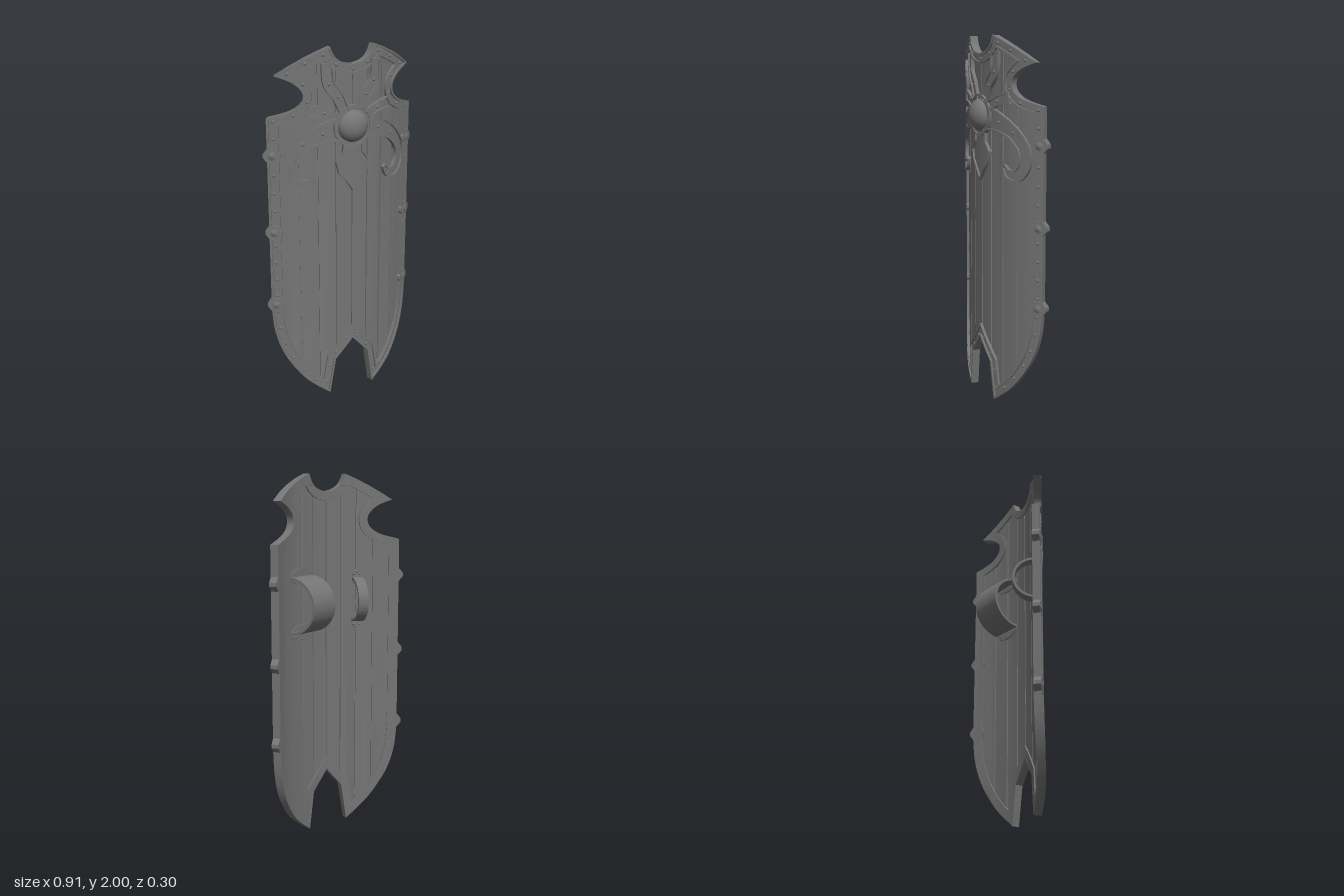
import * as THREE from 'three';
import { toCreasedNormals } from 'three/addons/utils/BufferGeometryUtils.js';

const R = 0.735, ZC = -0.638; // radius and axis of the curved front
const material = new THREE.MeshStandardMaterial({ color: 0x757575 });
const V = (x, y) => new THREE.Vector2(x, y);

// Wrap a flat geometry round the vertical axis, splitting wide triangles first
function bend(geo) {
  const p = geo.attributes.position, out = [], stack = [];
  const at = (i) => new THREE.Vector3().fromBufferAttribute(p, i);
  for (let i = 0; i < p.count; i += 3) stack.push([at(i), at(i + 1), at(i + 2)]);
  while (stack.length) {
    const [a, b, c] = stack.pop();
    const d = [Math.abs(a.x - b.x), Math.abs(b.x - c.x), Math.abs(c.x - a.x)];
    const k = d.indexOf(Math.max(...d));
    if (d[k] > 0.05) {
      const t = [a, b, c], u = t[k], v = t[(k + 1) % 3], w = t[(k + 2) % 3];
      const m = u.clone().lerp(v, 0.5);
      stack.push([u, m, w], [m, v, w]);
      continue;
    }
    for (const q of [a, b, c]) {
      const ang = Math.asin(q.x / R), r = R + q.z;
      out.push(r * Math.sin(ang), q.y, ZC + r * Math.cos(ang));
    }
  }
  const g = new THREE.BufferGeometry();
  g.setAttribute('position', new THREE.Float32BufferAttribute(out, 3));
  return toCreasedNormals(g, 0.5);
}

// Distance from a point to a closed outline
function distanceTo(pts, p) {
  let best = Infinity;
  pts.forEach((a, i) => {
    const e = pts[(i + 1) % pts.length].clone().sub(a), q = p.clone().sub(a);
    const t = THREE.MathUtils.clamp(q.dot(e) / e.lengthSq(), 0, 1);
    best = Math.min(best, q.addScaledVector(e, -t).length());
  });
  return best;
}

// Move a closed outline inward by d, dropping points that fold over at sharp tips
function inset(pts, d) {
  if (d === 0) return pts;
  const s = THREE.ShapeUtils.area(pts) > 0 ? 1 : -1, n = pts.length;
  return pts.map((p, i) => {
    const e1 = p.clone().sub(pts[(i + n - 1) % n]).normalize();
    const e2 = pts[(i + 1) % n].clone().sub(p).normalize();
    const n1 = V(-e1.y * s, e1.x * s), n2 = V(-e2.y * s, e2.x * s);
    const k = d / Math.max(0.3, 1 + n1.dot(n2));
    return p.clone().add(n1.add(n2).multiplyScalar(k));
  }).filter((p) => distanceTo(pts, p) > d * 0.9);
}

// Keep the part of an outline where f >= 0
function clip(pts, f) {
  const out = [];
  pts.forEach((a, i) => {
    const b = pts[(i + 1) % pts.length], fa = f(a), fb = f(b);
    if (fa >= 0) out.push(a.clone());
    if (fa * fb < 0) out.push(a.clone().lerp(b, fa / (fa - fb)));
  });
  return out;
}

// Extruded plate; a hole runs against the outline so that its walls face inward
function plate(name, pts, z0, z1, hole) {
  const shape = new THREE.Shape(pts);
  if (hole) shape.holes.push(new THREE.Path([...hole].reverse()));
  const g = new THREE.ExtrudeGeometry(shape, { depth: z1 - z0, bevelEnabled: false });
  const mesh = new THREE.Mesh(bend(g.translate(0, 0, z0)), material);
  mesh.name = name;
  return mesh;
}
const ring = (name, pts, d0, d1, z0, z1) => plate(name, inset(pts, d0), z0, z1, inset(pts, d1));

// Put a rigid part on the curved surface
function place(obj, x, y, depth = 0) {
  const a = Math.asin(x / R), r = R + depth;
  obj.position.set(r * Math.sin(a), y, ZC + r * Math.cos(a));
  obj.rotation.y = a;
  return obj;
}

const mirrored = (half) => [...half, ...half.filter((p) => Math.abs(p.x) > 1e-4).reverse().map((p) => V(-p.x, p.y))];

// Outer silhouette, drawn on one side from the top notch to the bottom notch
function outline() {
  const path = new THREE.Path();
  path.moveTo(0, 1.905);
  path.splineThru([V(0.06, 1.918), V(0.105, 1.95), V(0.13, 2)]);
  path.quadraticCurveTo(0.275, 1.95, 0.4, 1.86);
  path.splineThru([V(0.32, 1.825), V(0.272, 1.775), V(0.275, 1.72), V(0.33, 1.675), V(0.437, 1.64)]);
  path.lineTo(0.437, 0.55);
  path.splineThru([V(0.425, 0.42), V(0.395, 0.305), V(0.345, 0.205), V(0.265, 0.1), V(0.14, 0)]);
  path.lineTo(0.105, 0.215);
  path.lineTo(0, 0.33);
  const pts = path.getPoints(4);
  return mirrored(pts.filter((p, i) => i === 0 || p.distanceTo(pts[i - 1]) > 1e-3));
}

// Tapered ribbon outline from [x, y, halfWidth] stations
function ribbon(stations, s, steps) {
  const c = new THREE.CatmullRomCurve3(stations.map(([x, y, w]) => new THREE.Vector3(x * s, y, w)));
  const left = [], right = [];
  for (let i = 0; i <= steps; i++) {
    const p = c.getPoint(i / steps), t = c.getTangent(i / steps);
    const n = V(-t.y, t.x).normalize().multiplyScalar(p.z);
    left.push(V(p.x + n.x, p.y + n.y));
    right.push(V(p.x - n.x, p.y - n.y));
  }
  return [...left, ...right.reverse()];
}

const rivetGeo = new THREE.SphereGeometry(0.009, 10, 4, 0, Math.PI * 2, 0, Math.PI / 2).rotateX(Math.PI / 2);
function rivet(x, y, depth) {
  const m = new THREE.Mesh(rivetGeo, material);
  m.name = 'rivet';
  return place(m, x, y, depth);
}

// Arched strap on the back with riveted tabs
function handle(name, x, y, width, half, reach) {
  const g = new THREE.Group();
  g.name = name;
  const s = new THREE.Shape();
  s.absellipse(0, 0, reach, half, -Math.PI / 2, Math.PI / 2, false);
  s.absellipse(0, 0, reach - 0.014, half - 0.014, Math.PI / 2, -Math.PI / 2, true);
  const arch = new THREE.ExtrudeGeometry(s, { depth: width, bevelEnabled: false, curveSegments: 24 });
  arch.translate(0, 0, -width / 2).rotateY(Math.PI / 2);
  const strap = new THREE.Mesh(toCreasedNormals(arch, 0.6), material);
  strap.name = 'strap';
  g.add(strap);
  for (const e of [-1, 1]) {
    const tab = new THREE.Mesh(new THREE.CylinderGeometry(1, 1, 0.01, 24), material);
    tab.name = 'tab';
    tab.rotation.x = Math.PI / 2;
    tab.scale.set(width / 2, 1, 0.045);
    tab.position.set(0, e * half, 0);
    g.add(tab);
    for (const k of [-0.3, 0, 0.3]) {
      const r = new THREE.Mesh(rivetGeo, material);
      r.name = 'tabRivet';
      r.rotation.y = Math.PI;
      r.scale.setScalar(0.75);
      r.position.set(k * width, e * (half + 0.03 - Math.abs(k) * 0.04), -0.005);
      g.add(r);
    }
  }
  return place(g, x, y, -0.038);
}

export function createModel() {
  const model = new THREE.Group();
  model.name = 'shield';
  const edge = outline();

  // Backing board and vertical planks with grooves between them
  const boardEdge = inset(edge, 0.03);
  model.add(plate('backing', boardEdge, -0.028, -0.025));
  for (let i = -4; i < 4; i++) {
    const x0 = i * 0.099 + 0.004, x1 = (i + 1) * 0.099 - 0.004;
    const top = i === -4 || i === 3 ? 1.7 : 2; // outermost planks stop below the side notches
    let pts = clip(boardEdge, (p) => top - p.y);
    if (i > -4) pts = clip(pts, (p) => p.x - x0);
    if (i < 3) pts = clip(pts, (p) => x1 - p.x);
    model.add(plate('plank', pts, -0.035, -0.017));
  }

  // Metal frame with raised lips and rivets
  model.add(ring('frame', edge, 0, 0.05, -0.043, -0.01));
  model.add(ring('outerLip', edge, 0, 0.01, -0.011, 0));
  model.add(ring('innerLip', edge, 0.041, 0.052, -0.014, 0));
  const mid = inset(edge, 0.026);
  const track = new THREE.Path([...mid, mid[0]]);
  const count = Math.round(track.getLength() / 0.1);
  for (const p of track.getSpacedPoints(count).slice(1)) model.add(rivet(p.x, p.y, -0.011));

  // Faceted knobs on the side rails
  for (const s of [-1, 1]) for (const y of [0.58, 1.01, 1.44]) {
    const knob = new THREE.Group();
    knob.name = 'edgeKnob';
    const octagon = new THREE.Shape([V(-0.022, -0.04), V(0.022, -0.04), V(0.047, -0.01), V(0.047, 0.01),
      V(0.022, 0.04), V(-0.022, 0.04), V(-0.047, 0.01), V(-0.047, -0.01)]);
    const block = new THREE.Mesh(new THREE.ExtrudeGeometry(octagon, { depth: 0.04, bevelEnabled: false }), material);
    block.name = 'knobBlock';
    block.position.z = -0.041;
    const point = new THREE.Mesh(
      toCreasedNormals(new THREE.ConeGeometry(0.026, 0.008, 6).rotateX(Math.PI / 2), 0.1), material);
    point.name = 'knobPoint';
    point.position.z = 0.003;
    knob.add(block, point);
    model.add(place(knob, s * 0.417, y));
  }

  // Ornament: curled arms, side braces and upper struts
  const ribbons = {
    curledArm: [[0.05, 1.575, 0.07], [0.17, 1.55, 0.052], [0.27, 1.5, 0.04], [0.335, 1.42, 0.036], [0.342, 1.34, 0.034],
      [0.3, 1.278, 0.033], [0.245, 1.283, 0.026], [0.212, 1.325, 0.012]],
    sideBrace: [[0.07, 1.62, 0.03], [0.16, 1.66, 0.028], [0.25, 1.68, 0.034]],
    upperStrut: [[0.045, 1.65, 0.03], [0.085, 1.74, 0.032], [0.135, 1.81, 0.032], [0.145, 1.92, 0.032]],
  };
  for (const s of [-1, 1]) for (const [name, stations] of Object.entries(ribbons)) {
    const pts = ribbon(stations, s, name === 'curledArm' ? 36 : 12);
    model.add(plate(name, pts, -0.026, -0.009));
    model.add(ring(name + 'Lip', pts, 0, 0.009, -0.01, 0.002));
    for (const [x, y] of stations.slice(1, 3)) model.add(rivet(x * s, y, -0.01));
  }

  // Spade-shaped pendant under the boss
  const spade = mirrored([V(0, 1.52), V(0.06, 1.5), V(0.062, 1.44), V(0.1, 1.39), V(0.085, 1.33), V(0.04, 1.28), V(0, 1.225)]);
  model.add(plate('pendant', spade, -0.026, -0.009));
  model.add(ring('pendantLip', spade, 0, 0.009, -0.01, 0.002));

  // Central boss on a ringed disc that follows the curve
  const circle = new THREE.Path().absarc(0, 1.58, 0.112, 0, Math.PI * 2).getPoints(40).slice(0, -1);
  const dome = new THREE.Mesh(
    new THREE.SphereGeometry(0.088, 32, 12, 0, Math.PI * 2, 0, Math.PI / 2).rotateX(Math.PI / 2), material);
  dome.name = 'boss';
  dome.scale.z = 0.72;
  model.add(plate('bossDisc', circle, -0.026, -0.004), ring('bossRing', circle, 0, 0.011, -0.01, 0.005),
    place(dome, 0, 1.58, -0.012));

  // Arm strap and grip on the back
  const grip = handle('grip', -0.206, 1.305, 0.058, 0.125, 0.125);
  grip.rotation.y -= 0.07;
  model.add(handle('armStrap', 0.2, 1.305, 0.185, 0.155, 0.163), grip);
  return model;
}
